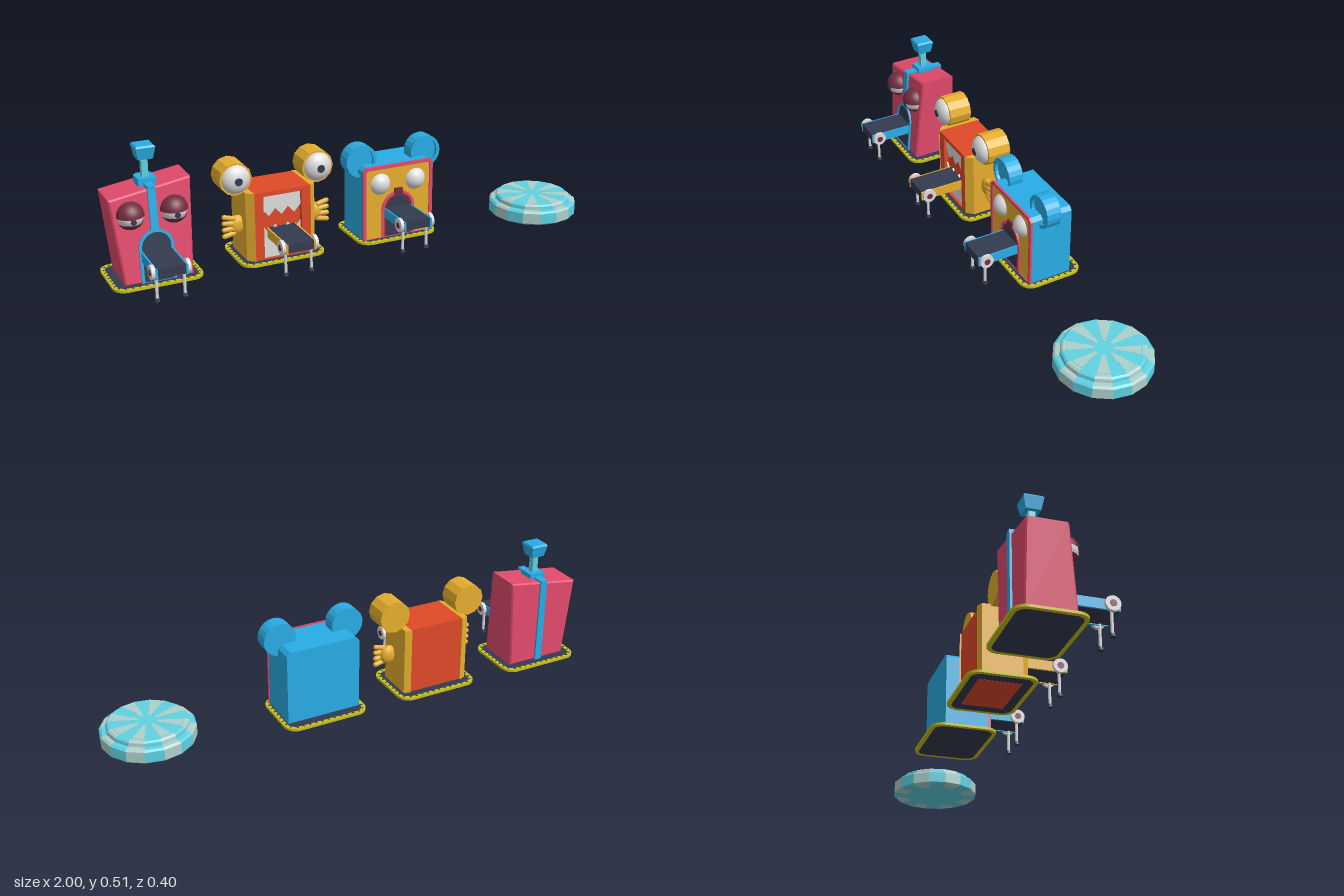
import * as THREE from 'three';

const mat = (name, color, side = THREE.FrontSide) => {
  const m = new THREE.MeshStandardMaterial({ color, side });
  m.name = name;
  return m;
};
const pink = mat('pink', 0xe24a6c), blue = mat('blue', 0x28ade6), yellow = mat('yellow', 0xe6ae2e);
const orange = mat('orange', 0xe04a28), dark = mat('dark slate', 0x343b50), white = mat('off white', 0xdedcdc);
const maroon = mat('maroon', 0x742c40, THREE.DoubleSide), teal = mat('teal', 0x60d2e2);
const pale = mat('pale teal', 0xaed0cc), hazard = mat('hazard yellow', 0xc8c01c);

function add(parent, name, geo, material, x = 0, y = 0, z = 0) {
  const m = new THREE.Mesh(geo, material);
  m.name = name;
  m.position.set(x, y, z);
  parent.add(m);
  return m;
}
const box = (w, h, d) => new THREE.BoxGeometry(w, h, d);
const cyl = (r, h, n = 16, r2 = r) => new THREE.CylinderGeometry(r, r2, h, n);
const flat = (g) => { const f = g.toNonIndexed(); f.computeVertexNormals(); return f; };
const poly = (pts) => new THREE.Shape(pts.map((p) => new THREE.Vector2(...p)));
const extrude = (shape, depth, bevel = 0) => new THREE.ExtrudeGeometry(shape, {
  depth, bevelEnabled: bevel > 0, bevelSize: bevel, bevelThickness: bevel, bevelOffset: -bevel, bevelSegments: 1, curveSegments: 10,
});

function roundedRect(hw, hd, r) {
  const s = new THREE.Shape();
  s.absarc(hw - r, hd - r, r, 0, Math.PI / 2);
  s.absarc(r - hw, hd - r, r, Math.PI / 2, Math.PI);
  s.absarc(r - hw, r - hd, r, Math.PI, Math.PI * 1.5);
  s.absarc(hw - r, r - hd, r, Math.PI * 1.5, Math.PI * 2);
  s.closePath();
  return s;
}

function arch(hw, top, base) {
  const s = new THREE.Shape();
  s.moveTo(-hw, base);
  s.lineTo(hw, base);
  s.lineTo(hw, top - hw);
  s.absarc(0, top - hw, hw, 0, Math.PI);
  s.closePath();
  return s;
}

// Floor plate with a striped warning rim
function addBase(g) {
  const rim = roundedRect(0.173, 0.13, 0.05), inner = roundedRect(0.157, 0.114, 0.036);
  add(g, 'floorPlate', extrude(inner, 0.008), dark, 0, 0, -0.07).rotation.x = -Math.PI / 2;
  rim.holes.push(inner);
  add(g, 'warningRim', extrude(rim, 0.01), hazard, 0, 0, -0.07).rotation.x = -Math.PI / 2;
  const line = roundedRect(0.162, 0.119, 0.041);
  for (let i = 0; i < 40; i++) {
    const p = line.getPointAt(i / 40), t = line.getTangentAt(i / 40);
    add(g, 'rimStripe', box(0.006, 0.002, 0.009), dark, p.x, 0.01, -0.07 - p.y).rotation.y = Math.atan2(t.y, t.x) + 0.5;
  }
}

// Conveyor sticking out of the mouth, with end wheels and legs
function addConveyor(g, railMaterial) {
  add(g, 'conveyorBelt', box(0.106, 0.036, 0.2), dark, 0, 0.116, 0.098);
  for (const s of [-1, 1]) {
    add(g, 'conveyorRail', box(0.008, 0.038, 0.2), railMaterial, s * 0.056, 0.114, 0.1);
    add(g, 'wheel', cyl(0.028, 0.014), white, s * 0.066, 0.115, 0.17).rotation.z = Math.PI / 2;
    add(g, 'wheelHub', cyl(0.013, 0.018, 8), maroon, s * 0.066, 0.115, 0.17).rotation.z = Math.PI / 2;
    add(g, 'conveyorLeg', cyl(0.006, 0.1, 8), white, s * 0.052, 0.052, 0.17);
    add(g, 'conveyorFoot', cyl(0.009, 0.012, 8, 0.012), dark, s * 0.052, 0.006, 0.17);
  }
}

// Arched mouth: nested rims around a dark opening
function addArchMouth(g, hw, top, rims) {
  rims.forEach((material, i) => {
    const w = 0.011, a = i * w;
    const rim = arch(hw - a, top - a, 0.012);
    rim.holes.push(arch(hw - a - w, top - a - w, 0.013));
    add(g, 'mouthRim', extrude(rim, 0.011 - i * 0.002), material, 0, 0, -0.004);
  });
  const inset = rims.length * 0.011;
  add(g, 'mouthOpening', extrude(arch(hw - inset, top - inset, 0.012), 0.006), dark, 0, 0, -0.003);
}

// Crooked machine with sleepy eyes and a hopper
function crookedMachine() {
  const g = new THREE.Group();
  g.name = 'crookedMachine';
  addBase(g);
  addConveyor(g, blue);
  const lean = 0.108;
  const body = extrude(poly([[-0.127, 0.01], [0.133, 0.01], [0.151, 0.384], [-0.16, 0.337]]), 0.175, 0.006);
  body.translate(0, 0, -0.151);
  const p = body.attributes.position;
  for (let i = 0; i < p.count; i++) if (p.getZ(i) > -0.06) p.setZ(i, p.getZ(i) - lean * p.getY(i));
  body.computeVertexNormals();
  add(g, 'body', body, pink);

  const face = new THREE.Group();
  face.name = 'face';
  face.position.z = 0.03;
  face.rotation.x = -Math.atan(lean);
  g.add(face);
  addArchMouth(face, 0.066, 0.21, [blue]);
  add(face, 'frontStrip', box(0.03, 0.17, 0.016), blue, 0, 0.287, 0);
  add(g, 'topStrip', box(0.03, 0.014, 0.165), blue, 0, 0.364, -0.083);
  add(g, 'backStrip', box(0.03, 0.358, 0.014), blue, 0, 0.19, -0.158);

  for (const x of [-0.085, 0.079]) {
    const eye = new THREE.Group();
    eye.name = 'sleepyEye';
    eye.position.set(x, 0.272, -0.003);
    g.add(eye);
    add(eye, 'eyeball', new THREE.SphereGeometry(0.049, 20, 14), white);
    add(eye, 'upperLid', new THREE.SphereGeometry(0.053, 20, 8, 0, Math.PI * 2, 0, Math.PI * 0.5), maroon);
    add(eye, 'lowerLid', new THREE.SphereGeometry(0.053, 20, 8, 0, Math.PI * 2, Math.PI * 0.65, Math.PI * 0.35), maroon);
    add(eye, 'pupil', cyl(0.011, 0.006, 12), dark, 0, -0.011, 0.047).rotation.x = Math.PI / 2;
  }

  // Square hopper on a slim neck
  add(g, 'hopperBase', box(0.068, 0.03, 0.068), blue, 0, 0.37, -0.083);
  add(g, 'hopperNeck', box(0.024, 0.09, 0.026), teal, 0, 0.415, -0.083);
  add(g, 'hopper', flat(cyl(0.0523, 0.046, 4, 0.0396).rotateY(Math.PI / 4)), blue, 0, 0.479, -0.083);
  add(g, 'hopperLid', flat(cyl(0.046, 0.007, 4, 0.0523).rotateY(Math.PI / 4)), blue, 0, 0.5055, -0.083);
  return g;
}

// Machine with jagged teeth, bulging eyes and hands
function toothyMachine() {
  const g = new THREE.Group();
  g.name = 'toothyMachine';
  addBase(g);
  addConveyor(g, yellow);
  add(g, 'body', box(0.23, 0.275, 0.16), orange, 0, 0.1475, -0.072);
  add(g, 'bodyUnderside', box(0.23, 0.002, 0.16), orange, 0, 0.0005, -0.072);
  const frame = poly([[-0.115, 0.01], [0.115, 0.01], [0.115, 0.285], [-0.115, 0.285]]);
  frame.holes.push(poly([[-0.078, 0.013], [0.078, 0.013], [0.078, 0.268], [-0.078, 0.268]]));
  add(g, 'mouthFrame', extrude(frame, 0.019), orange, 0, 0, 0.008);

  // Zigzag rows of teeth
  const teeth = (edge, y0, y1) => {
    const pts = [[-0.078, edge], [0.078, edge]];
    for (let i = 0; i <= 6; i++) pts.push([0.078 - i * 0.026, i % 2 ? y0 : y1]);
    return extrude(poly(pts), 0.006);
  };
  add(g, 'upperTeeth', teeth(0.268, 0.182, 0.21), white, 0, 0, 0.009);
  add(g, 'lowerTeeth', teeth(0.013, 0.108, 0.145), white, 0, 0, 0.009);

  for (const s of [-1, 1]) {
    const side = [[0.115, -0.03], [0.142, -0.003], [0.142, 0.149], [0.115, 0.158]].map(([x, y]) => [s * x, y]);
    add(g, 'sidePanel', extrude(poly(side), 0.276), yellow, 0, 0.01, 0).rotation.x = -Math.PI / 2;

    const eye = new THREE.Group();
    eye.name = 'bulgingEye';
    eye.position.set(s * 0.168, 0.337, 0);
    g.add(eye);
    add(eye, 'eyeHousing', flat(cyl(0.065, 0.095, 12)), yellow, 0, 0, -0.068).rotation.x = Math.PI / 2;
    add(eye, 'eyeball', new THREE.SphereGeometry(0.057, 20, 14), white, 0, 0, -0.025).scale.z = 0.68;
    add(eye, 'pupil', cyl(0.016, 0.006, 8), dark, 0, 0, 0.012).rotation.x = Math.PI / 2;

    const hand = new THREE.Group();
    hand.name = 'hand';
    hand.position.set(s * 0.142, 0.143, -0.05);
    g.add(hand);
    add(hand, 'palm', new THREE.SphereGeometry(0.036, 12, 8), yellow, s * 0.018, 0, 0).scale.set(1, 1.1, 0.6);
    for (let i = 0; i < 4; i++) {
      add(hand, 'finger', new THREE.CapsuleGeometry(0.0105, 0.038, 4, 8), yellow, s * 0.052, -0.034 + i * 0.023, 0.008)
        .rotation.z = s * (-0.2 + i * 0.16 - Math.PI / 2);
    }
  }
  return g;
}

// Machine with round ears
function earedMachine() {
  const g = new THREE.Group();
  g.name = 'earedMachine';
  addBase(g);
  addConveyor(g, blue);
  const outline = poly([[-0.152, 0.01], [0.152, 0.01], [0.152, 0.297], [0.137, 0.312], [-0.137, 0.312], [-0.152, 0.297]]);
  add(g, 'body', extrude(outline, 0.173), blue, 0, 0, -0.148);
  const trim = poly([[-0.155, 0.01], [0.155, 0.01], [0.155, 0.3], [0.14, 0.315], [-0.14, 0.315], [-0.155, 0.3]]);
  const panel = poly([[-0.141, 0.011], [0.141, 0.011], [0.141, 0.293], [0.134, 0.301], [-0.134, 0.301], [-0.141, 0.293]]);
  add(g, 'facePanel', extrude(panel, 0.005), yellow, 0, 0, 0.022);
  trim.holes.push(panel);
  add(g, 'faceTrim', extrude(trim, 0.009), pink, 0, 0, 0.023);

  const face = new THREE.Group();
  face.name = 'face';
  face.position.z = 0.026;
  g.add(face);
  addArchMouth(face, 0.072, 0.2, [pink, maroon]);
  add(face, 'nose', box(0.036, 0.024, 0.016), maroon, 0, 0.2, 0.002);

  for (const s of [-1, 1]) {
    add(g, 'eyeball', new THREE.SphereGeometry(0.048, 20, 14), white, s * 0.078, 0.238, 0.008);
    const ring = new THREE.Shape().absarc(0, 0, 0.066, 0, Math.PI * 2);
    ring.holes.push(new THREE.Path().absarc(0, 0, 0.052, 0, Math.PI * 2));
    add(g, 'earRim', extrude(ring, 0.059), blue, s * 0.142, 0.331, -0.068);
    add(g, 'innerEar', cyl(0.054, 0.046, 20), blue, s * 0.142, 0.331, -0.045).rotation.x = Math.PI / 2;
  }
  return g;
}

// Stepped round pad with alternating wedges and a sunburst on top
function roundPad() {
  const g = new THREE.Group();
  g.name = 'roundPad';
  const step = Math.PI / 8;
  const side = [[0.125, 0.001], [0.176, 0.001], [0.182, 0.007], [0.182, 0.05], [0.174, 0.057], [0.157, 0.058], [0.155, 0.072], [0.148, 0.078], [0.135, 0.078]];
  const profile = side.map((p) => new THREE.Vector2(...p));
  const ray = extrude(poly([[0.035, -0.005], [0.131, -0.023], [0.131, 0.023], [0.035, 0.005]]), 0.002).rotateX(-Math.PI / 2);
  for (let i = 0; i < 16; i++) {
    add(g, 'padWedge', flat(new THREE.LatheGeometry(profile, 1, i * step, step)), i % 2 ? teal : pale);
    if (i % 2 === 0) add(g, 'padRay', ray, pale, 0, 0.0767, 0).rotation.y = (i + 0.5) * step - Math.PI / 2;
  }
  add(g, 'padTop', cyl(0.136, 0.003, 16), teal, 0, 0.0765, 0);
  add(g, 'padUnderside', cyl(0.126, 0.002, 16), teal, 0, 0.002, 0);
  return g;
}

export function createModel() {
  const model = new THREE.Group();
  model.name = 'funMachines';
  const parts = [[crookedMachine(), -0.826, 0], [toothyMachine(), -0.329, 0], [earedMachine(), 0.166, 0], [roundPad(), 0.818, 0.019]];
  for (const [part, x, z] of parts) {
    part.position.set(x, 0, z);
    model.add(part);
  }
  return model;
}
